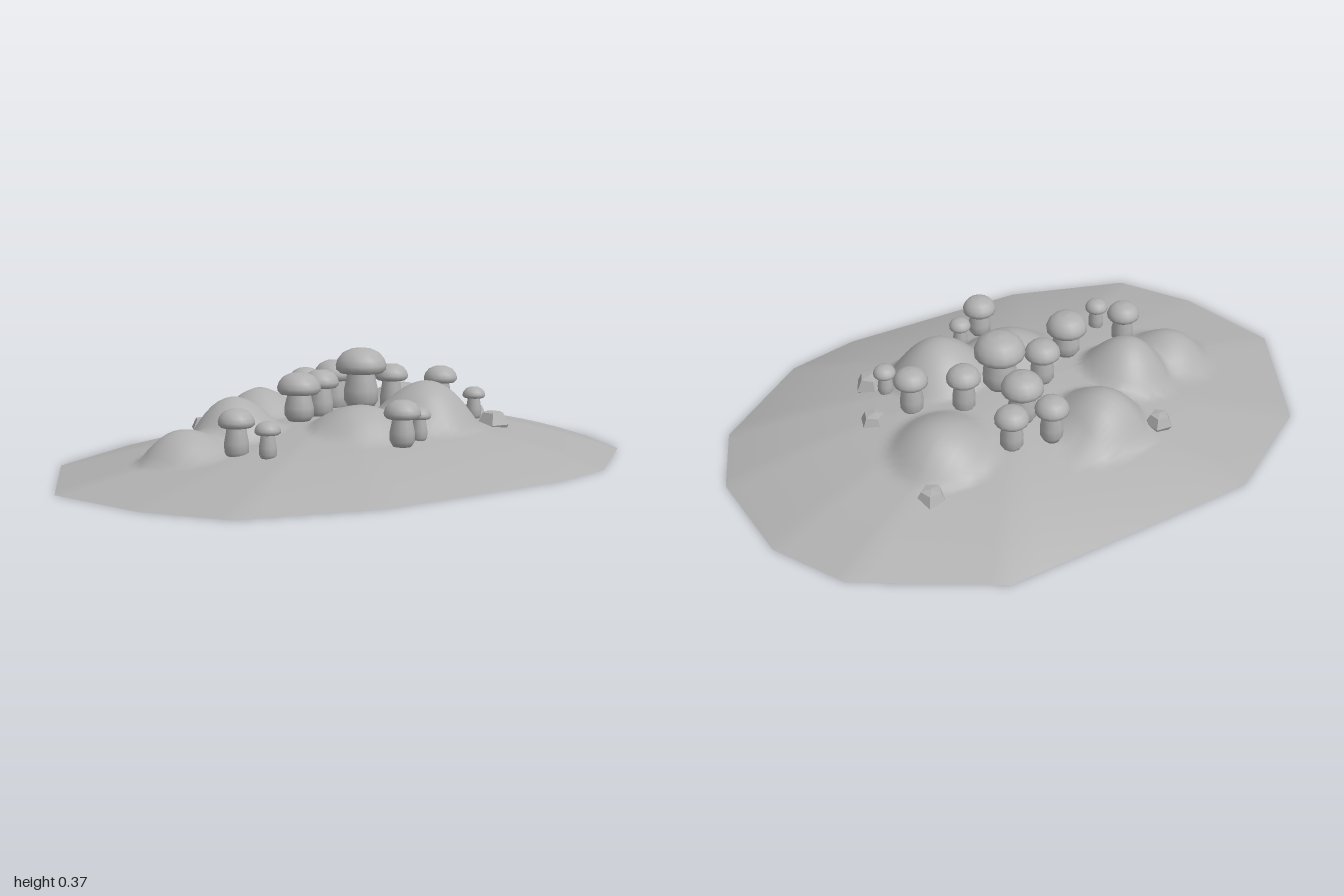
import * as THREE from 'three';

const stone = new THREE.MeshStandardMaterial({ color: 0xb0b0b0, side: THREE.DoubleSide });
stone.name = 'plain grey';

// Outline of the ground sheet (x, z)
const outline = [
  [-1, 0.22], [-0.9, -0.23], [-0.61, -0.52], [0.23, -0.755], [0.7, -0.615],
  [0.89, -0.42], [1, -0.09], [0.965, 0.17], [0.705, 0.49], [0.475, 0.6],
  [-0.18, 0.75], [-0.61, 0.72], [-0.82, 0.53],
];

// Rounded hummocks: x, z, radius, top height
const hummocks = [
  [-0.22, -0.22, 0.16, 0.225], [0.32, -0.24, 0.17, 0.215], [-0.39, 0.03, 0.16, 0.235],
  [-0.58, 0.13, 0.15, 0.155], [-0.02, 0.2, 0.17, 0.21], [0.24, 0.14, 0.18, 0.27],
];

// Mushrooms: x, z, cap radius, top height, foot height
const mushrooms = [
  [0.07, -0.015, 0.085, 0.37, 0.17], [-0.2, 0.12, 0.07, 0.315, 0.16],
  [-0.08, 0, 0.06, 0.305, 0.15], [0.035, -0.17, 0.07, 0.315, 0.14],
  [-0.035, -0.27, 0.056, 0.28, 0.12], [0.1, -0.28, 0.056, 0.275, 0.12],
  [0.205, -0.07, 0.057, 0.305, 0.14], [0.37, -0.025, 0.057, 0.295, 0.13],
  [0.435, 0.1, 0.038, 0.235, 0.125], [0.04, 0.39, 0.058, 0.25, 0.105],
  [0.125, 0.33, 0.038, 0.215, 0.105], [-0.45, 0.25, 0.057, 0.23, 0.08],
  [-0.38, 0.34, 0.04, 0.2, 0.085],
];

// Pebbles: x, z, radius, top height, turn
const pebbles = [
  [0.39, -0.41, 0.052, 0.12, 0.3], [-0.41, -0.25, 0.047, 0.13, 1.4],
  [0.5, -0.035, 0.05, 0.155, 0.9], [0.475, 0.165, 0.055, 0.16, 2],
];

function groundHeight(x, z, t) {
  const base = 0.16 * (1 - Math.pow(t, 1.7)) * (1 + 0.3 * x);
  let y = base;
  for (const [hx, hz, r, top] of hummocks) {
    const d = Math.hypot(x - hx, z - hz) / r;
    if (d < 1) y = Math.max(y, base + (top - base) * Math.pow(1 - d * d, 1.2));
  }
  return y;
}

// Concentric rings from the centre out to the polygon edge
function makeGround() {
  const rings = 44, split = 8, count = outline.length * split;
  const pos = [0, groundHeight(0, 0, 0), 0], index = [];
  for (let r = 1; r <= rings; r++) {
    const t = r / rings;
    for (let i = 0; i < count; i++) {
      const a = outline[Math.floor(i / split)];
      const b = outline[(Math.floor(i / split) + 1) % outline.length];
      const f = (i % split) / split;
      const x = t * (a[0] + (b[0] - a[0]) * f), z = t * (a[1] + (b[1] - a[1]) * f);
      pos.push(x, groundHeight(x, z, t), z);
      const n = (i + 1) % count, cur = 1 + (r - 1) * count;
      if (r === 1) index.push(0, cur + n, cur + i);
      else {
        const inner = cur - count;
        index.push(inner + i, cur + n, cur + i, inner + i, inner + n, cur + n);
      }
    }
  }
  const geo = new THREE.BufferGeometry();
  geo.setAttribute('position', new THREE.Float32BufferAttribute(pos, 3));
  geo.setIndex(index);
  geo.computeVertexNormals();
  const mesh = new THREE.Mesh(geo, stone);
  mesh.name = 'ground';
  return mesh;
}

const lathe = (points, sides) =>
  new THREE.LatheGeometry(points.map(([x, y]) => new THREE.Vector2(x, y)), sides);

function makeMushroom([x, z, r, top, foot]) {
  const group = new THREE.Group();
  group.name = 'mushroom';
  const capBase = top - r * 0.98;

  // Domed cap with a tucked rim and shallow underside
  const cap = new THREE.Mesh(lathe([
    [0, 0.2], [0.5, 0.12], [0.85, 0], [0.98, 0.12], [1, 0.3],
    [0.92, 0.54], [0.72, 0.79], [0.4, 0.94], [0, 0.98],
  ], 16), stone);
  cap.name = 'cap';
  cap.scale.setScalar(r);
  cap.position.y = capBase;

  // Plump stem, swelling towards the foot
  const h = capBase + r * 0.15 - foot;
  const stem = new THREE.Mesh(lathe([
    [0, 0], [r * 0.5, 0], [r * 0.68, h * 0.18], [r * 0.68, h * 0.45],
    [r * 0.58, h * 0.75], [r * 0.52, h],
  ], 12), stone);
  stem.name = 'stem';
  stem.position.y = foot;

  group.add(cap, stem);
  group.position.set(x, 0, z);
  return group;
}

// Faceted five-sided pebble, half sunk in the ground
function makePebble([x, z, r, top, turn]) {
  const geo = lathe([
    [0, -0.75], [0.65, -0.7], [1, -0.1], [0.65, 0.6], [0, 0.7],
  ], 5).toNonIndexed();
  geo.computeVertexNormals();
  const mesh = new THREE.Mesh(geo, stone);
  mesh.name = 'pebble';
  mesh.scale.setScalar(r);
  mesh.rotation.y = turn;
  mesh.position.set(x, top - r * 0.7, z);
  return mesh;
}

export function createModel() {
  const model = new THREE.Group();
  model.name = 'mushroomMound';
  model.add(makeGround(), ...mushrooms.map(makeMushroom), ...pebbles.map(makePebble));
  return model;
}
